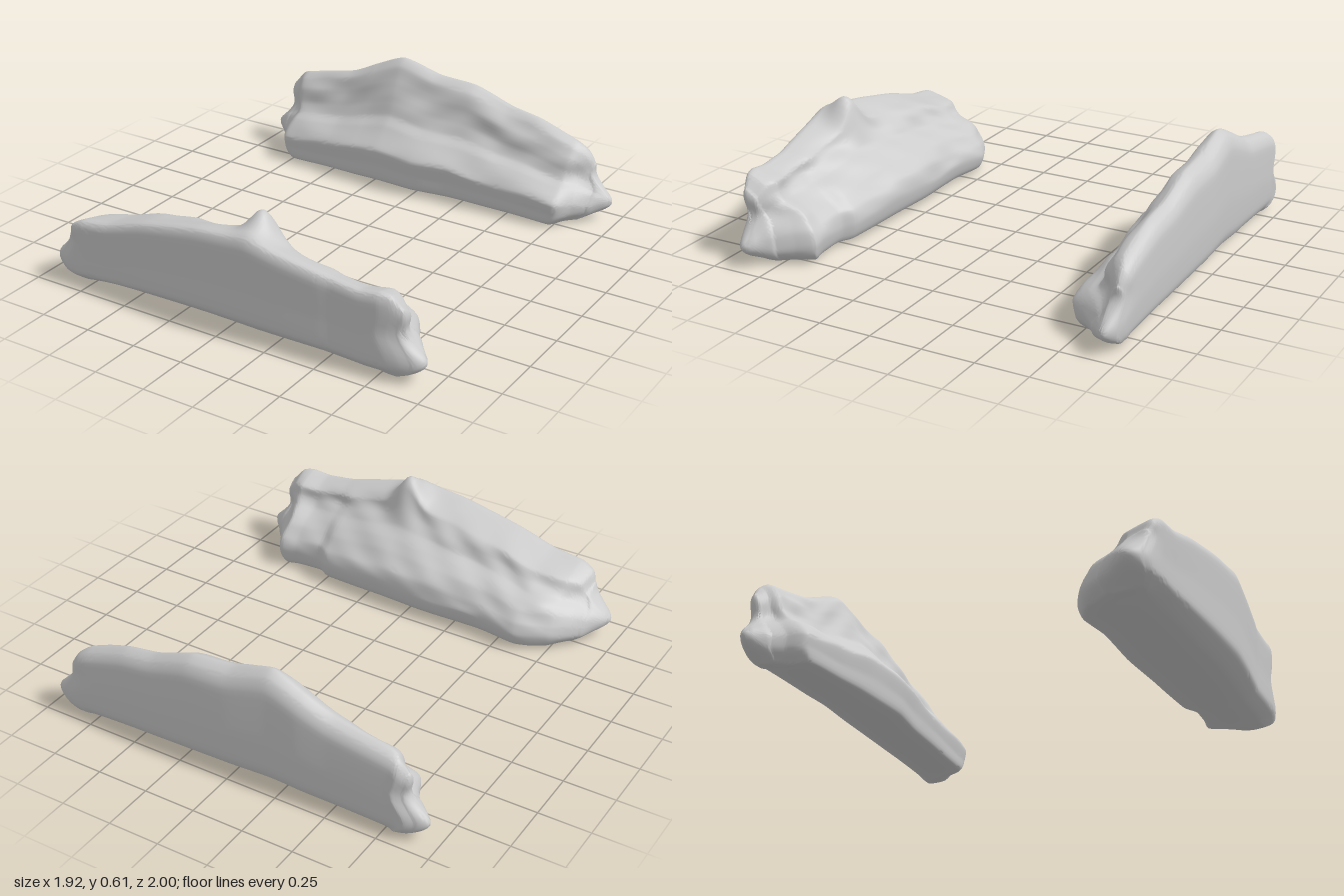
import * as THREE from 'three';
import { toCreasedNormals } from 'three/addons/utils/BufferGeometryUtils.js';

const material = new THREE.MeshStandardMaterial({ color: 0xcccccc, roughness: 0.9 });
const bump = (value, centre, spread) => Math.exp(-(((value - centre) / spread) ** 2));

// Lofts a rock ridge. stations: [x, height, outer z, inner z]; profile: [0 outer..1 inner, 0 base..1 crest]
function createRidge(name, stations, profile, { seed, rough, lean, crag }) {
  const spine = new THREE.CatmullRomCurve3(stations.map(s => new THREE.Vector3(s[0], s[1], 0)), false, 'catmullrom', 0.3);
  const width = new THREE.CatmullRomCurve3(stations.map(s => new THREE.Vector3(s[2], s[3], 0)), false, 'catmullrom', 0.3);
  const section = new THREE.CatmullRomCurve3(profile.map(p => new THREE.Vector3(p[0], p[1], 0)), true, 'catmullrom', 0.3);
  const around = profile.length * 5, along = 120;
  const outline = Array.from({ length: around }, (_, i) => section.getPoint(i / around));
  const rings = [];

  function makeRing(t, shrink, push) {
    const { x, y: height } = spine.getPoint(t), { x: outer, y: inner } = width.getPoint(t);
    const end = THREE.MathUtils.smoothstep(Math.abs(x), 0.66, 0.85), side = Math.sign(x);
    rings.push(outline.map(p => {
      const u = 0.42 + (p.x - 0.42) * shrink, v = 0.38 + (p.y - 0.38) * shrink;
      // Weathered ledges and gullies on the crest and inner slope, fading at the ends
      const slope = THREE.MathUtils.smoothstep(u, 0.15, 0.5) * THREE.MathUtils.smoothstep(v, 0.05, 0.35) * (1 - 0.85 * end);
      const bands = Math.sin(v * 17 + x * 5 + seed + 1.4 * Math.sin(x * 6 + seed))
        + 0.7 * Math.sin(x * 11 + v * 12 + seed * 2) + 0.4 * Math.sin(x * 26 - v * 21 + seed);
      // The upper ledge drifts across the ridge along its length
      const ledge = slope * lean * x * bump(v, 0.75, 0.22);
      // Lone crag on top, and a base that lifts slightly in the middle
      const lump = crag * bump(x, 0.15, 0.075) * bump(u, 0.36, 0.2) * THREE.MathUtils.smoothstep(v, 0.6, 0.85);
      const lift = 0.02 * Math.max(0, 1 - (x / 0.8) ** 2) * (1 - v);
      const y = Math.max(0, v * height + lift + lump + slope * rough * 0.4 * bands * (1 - 0.5 * v));
      const z = outer + (inner - outer) * (u + ledge + slope * rough * 2 * bands * (1.12 - u));
      // End faces: bulging foot, notch above it, rounded underside
      const foot = 0.068 * bump(y, 0.1, 0.06) * bump(u, 0.3, 0.4);
      const notch = 0.025 * bump(y, 0.23, 0.05) + 0.05 * bump(y, 0, 0.035);
      return new THREE.Vector3(x + side * (end * (foot - notch) + push), y, z);
    }));
  }

  // Main body between two rounded end caps
  const caps = Array.from({ length: 9 }, (_, k) => (k + 1) / 10 * Math.PI / 2);
  caps.forEach(a => makeRing(0, Math.sin(a), 0.03 * Math.cos(a)));
  for (let i = 0; i <= along; i++) makeRing(i / along, 1, 0);
  caps.reverse().forEach(a => makeRing(1, Math.sin(a), 0.03 * Math.cos(a)));

  const positions = [], indices = [];
  const flip = stations[0][2] < 0;
  const tri = (a, b, c) => flip ? indices.push(a, c, b) : indices.push(a, b, c);
  rings.forEach(r => r.forEach(p => positions.push(p.x, p.y, p.z)));
  for (let i = 0; i < rings.length - 1; i++) {
    for (let j = 0; j < around; j++) {
      const a = i * around + j, b = i * around + (j + 1) % around;
      tri(a, a + around, b);
      tri(b, a + around, b + around);
    }
  }
  // Close both tips with fans
  [0, rings.length - 1].forEach(k => {
    const c = rings[k].reduce((sum, p) => sum.add(p), new THREE.Vector3()).divideScalar(around);
    const hub = positions.length / 3;
    positions.push(c.x, c.y, c.z);
    for (let j = 0; j < around; j++) {
      const a = k * around + j, b = k * around + (j + 1) % around;
      k === 0 ? tri(hub, a, b) : tri(hub, b, a);
    }
  });

  const geometry = new THREE.BufferGeometry();
  geometry.setAttribute('position', new THREE.Float32BufferAttribute(positions, 3));
  geometry.setIndex(indices);
  const mesh = new THREE.Mesh(toCreasedNormals(geometry, 0.8), material);
  mesh.name = name;
  return mesh;
}

export function createModel() {
  const group = new THREE.Group();
  group.name = 'rockRidges';

  // Front ridge: broad, top tilting inward from a sharp outer rim, with an off-centre crag
  group.add(createRidge('frontRidge', [
    [-0.86, 0.25, 0.945, 0.72], [-0.82, 0.30, 0.965, 0.67], [-0.75, 0.335, 0.975, 0.60],
    [-0.6, 0.36, 0.975, 0.525], [-0.4, 0.42, 0.98, 0.54], [-0.1, 0.48, 0.99, 0.525],
    [0.15, 0.50, 0.995, 0.54], [0.3, 0.47, 0.985, 0.55], [0.48, 0.43, 0.965, 0.57],
    [0.55, 0.415, 0.955, 0.61], [0.68, 0.40, 0.955, 0.61], [0.77, 0.41, 0.95, 0.60],
    [0.82, 0.40, 0.935, 0.68], [0.865, 0.35, 0.915, 0.75],
  ], [
    [0.24, 0.02], [0.11, 0.1], [0.04, 0.19], [0.025, 0.5], [0, 0.88], [0.03, 0.98], [0.1, 1],
    [0.28, 0.95], [0.44, 0.89], [0.51, 0.78], [0.59, 0.68], [0.72, 0.61], [0.84, 0.53],
    [0.96, 0.39], [1, 0.22], [0.93, 0.03], [0.6, 0],
  ], { seed: 1.3, rough: 0.017, lean: -0.15, crag: 0.115 }));

  // Back ridge: thinner and taller, with a rounded crest and a ledge below it
  group.add(createRidge('backRidge', [
    [-0.86, 0.34, -0.95, -0.82], [-0.82, 0.39, -0.97, -0.77], [-0.77, 0.42, -0.97, -0.68],
    [-0.5, 0.48, -0.98, -0.66], [-0.35, 0.55, -0.99, -0.645], [-0.2, 0.61, -0.99, -0.64],
    [0, 0.56, -1, -0.63], [0.2, 0.545, -1, -0.66], [0.4, 0.48, -0.995, -0.67],
    [0.56, 0.45, -0.99, -0.68], [0.76, 0.38, -0.985, -0.69], [0.82, 0.34, -0.98, -0.77],
    [0.87, 0.28, -0.97, -0.83],
  ], [
    [0.28, 0.01], [0.1, 0.07], [0.03, 0.17], [0, 0.45], [0.01, 0.84], [0.08, 0.95], [0.21, 1],
    [0.35, 0.94], [0.46, 0.82], [0.52, 0.66], [0.62, 0.55], [0.76, 0.49], [0.9, 0.4],
    [1, 0.31], [0.97, 0.17], [0.93, 0.02], [0.6, 0],
  ], { seed: 4.1, rough: 0.015, lean: 0.04, crag: 0 }));

  return group;
}
